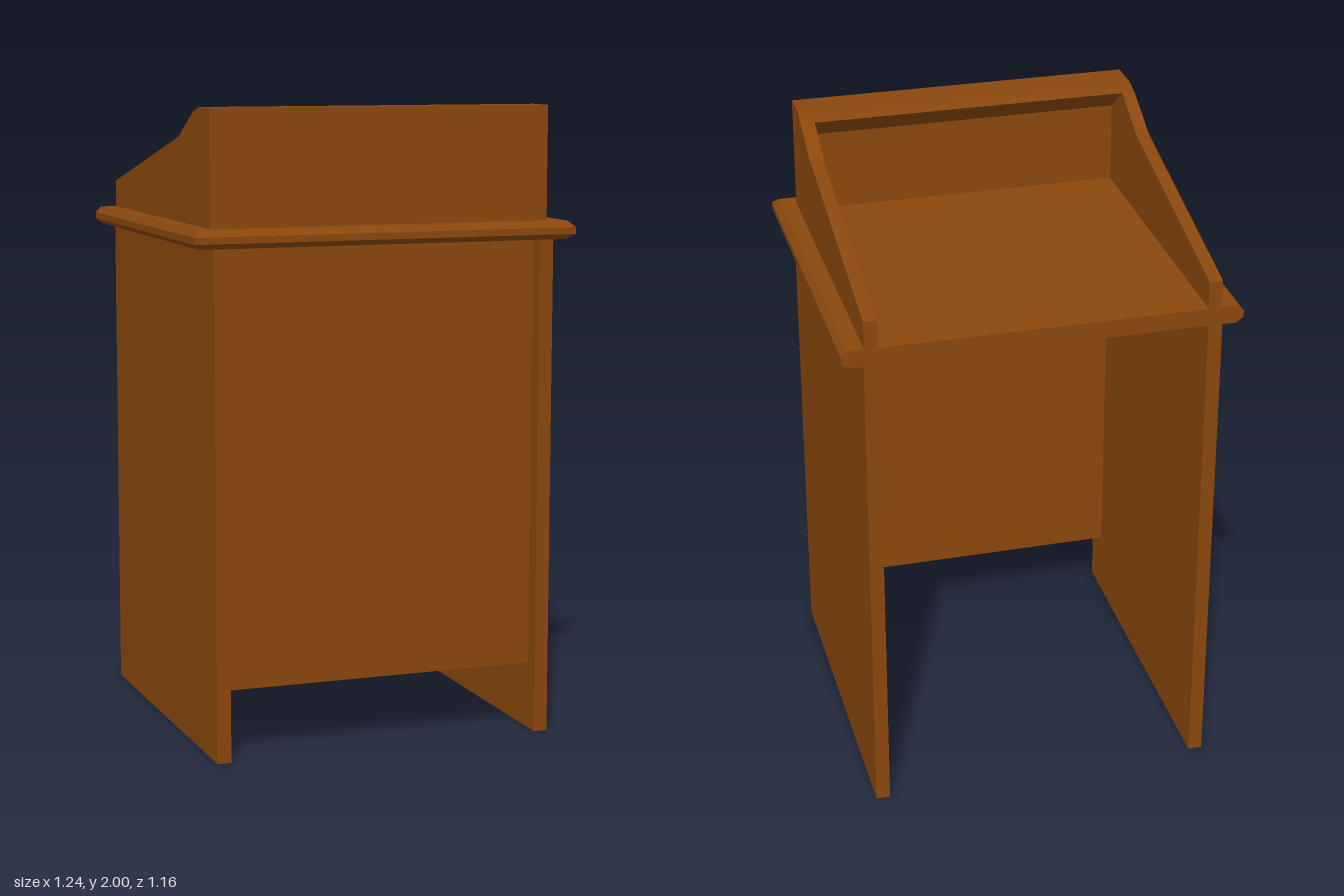
import * as THREE from 'three';

const BACK = -0.578;

export function createModel() {
  const group = new THREE.Group();
  group.name = 'lectern';
  const wood = new THREE.MeshStandardMaterial({ name: 'brown wood', color: 0x8a470d });

  const add = (name, geometry) => {
    const mesh = new THREE.Mesh(geometry, wood);
    mesh.name = name;
    group.add(mesh);
    return mesh;
  };

  // Box given by its lower and upper corners
  const box = (name, [x0, y0, z0], [x1, y1, z1]) => {
    const mesh = add(name, new THREE.BoxGeometry(x1 - x0, y1 - y0, z1 - z0));
    mesh.position.set((x0 + x1) / 2, (y0 + y1) / 2, (z0 + z1) / 2);
  };

  // Prism along x from a [z, y] profile
  const prism = (points, x0, x1) => {
    const shape = new THREE.Shape(points.map(([z, y]) => new THREE.Vector2(z, y)));
    const geometry = new THREE.ExtrudeGeometry(shape, { depth: x1 - x0, bevelEnabled: false });
    return geometry.rotateY(-Math.PI / 2).translate(x1, 0, 0);
  };

  // Stand: two side panels and a recessed front panel
  box('leftSidePanel', [0.51, 0, BACK], [0.555, 1.585, 0.555]);
  box('rightSidePanel', [-0.555, 0, BACK], [-0.51, 1.585, 0.555]);
  box('frontPanel', [-0.51, 0.215, 0.45], [0.51, 1.585, 0.505]);

  // Desk top: slab chamfered on the front and sides, flat at the back
  const levels = [[0.6, 1.583, 0.555], [0.622, 1.6, 0.578], [0.622, 1.621, 0.578], [0.604, 1.64, 0.555]];
  const slab = new THREE.BoxGeometry(1, 1, 1, 1, 3, 1).toNonIndexed();
  const p = slab.attributes.position;
  for (let i = 0; i < p.count; i++) {
    const [w, y, front] = levels[Math.round((p.getY(i) + 0.5) * 3)];
    p.setXYZ(i, Math.sign(p.getX(i)) * w, y, p.getZ(i) > 0 ? front : BACK);
  }
  slab.computeVertexNormals();
  add('deskTop', slab);

  // Sloping walls of the tray
  const wall = [[-0.574, 1.64], [0.51, 1.64], [0.51, 2], [0.4, 2], [0.34, 1.985], [0.178, 1.902], [-0.574, 1.727]];
  add('rightTrayWall', prism(wall, -0.552, -0.51));

  // The left wall has its upper curve set further forward on the outer face
  const leftWall = prism(wall, 0.51, 0.552);
  const q = leftWall.attributes.position;
  for (let i = 0; i < q.count; i++) {
    const z = q.getZ(i);
    if (q.getX(i) < 0.53 || z < 0.1 || z > 0.39) continue;
    if (z > 0.3) q.setXYZ(i, 0.552, 2, 0.399);
    else q.setXYZ(i, 0.552, 1.913, 0.228);
  }
  leftWall.computeVertexNormals();
  add('leftTrayWall', leftWall);

  // Raised front of the tray with a lip overhanging the inside
  add('trayFront', prism(
    [[0.45, 1.64], [0.51, 1.64], [0.51, 2], [0.4, 2], [0.34, 1.985], [0.45, 1.9]], -0.51, 0.51));

  return group;
}
